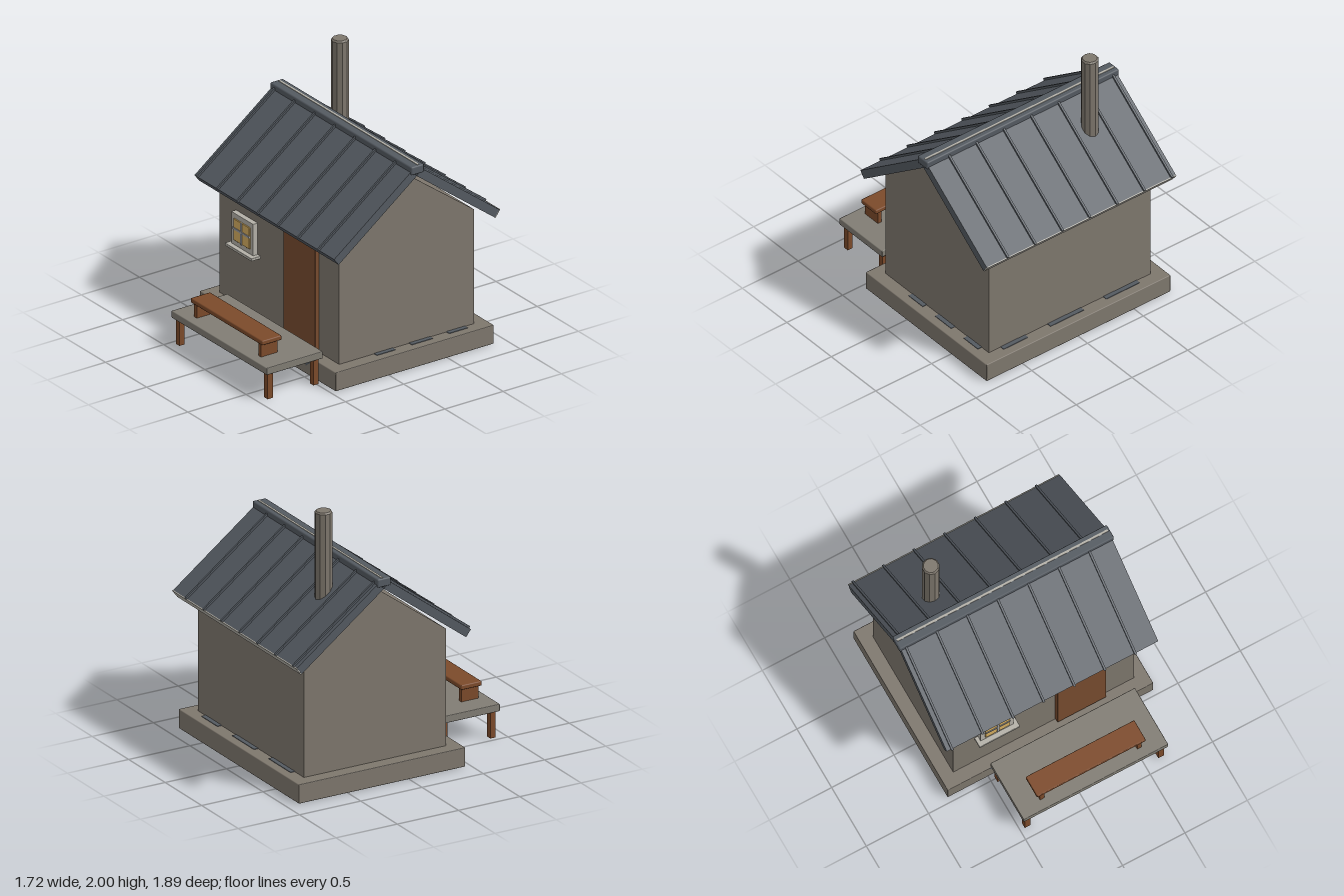
import * as THREE from 'three';
import { RoundedBoxGeometry } from 'three/addons/geometries/RoundedBoxGeometry.js';

const material = (name, color) => {
  const m = new THREE.MeshStandardMaterial({ color });
  m.name = name;
  return m;
};

export function createModel() {
  const plaster = material('plaster', 0x7e776d);
  const slate = material('slate', 0x545a61);
  const wood = material('wood', 0x784c2f);
  const benchWood = material('bench wood', 0x7c4a2a);
  const deckStone = material('deck stone', 0x817d74);
  const trim = material('pale trim', 0xb4b1a8);
  const glass = material('warm glass', 0xd4ad60);
  const bars = material('window bars', 0x9c9d9f);

  const model = new THREE.Group();
  model.name = 'cabin';

  // Box given by its lower and upper limits on each axis; r softens the edges
  function box(name, mat, [x0, x1], [y0, y1], [z0, z1], parent = model, r = 0) {
    const size = [x1 - x0, y1 - y0, z1 - z0];
    const geo = r ? new RoundedBoxGeometry(...size, 1, r) : new THREE.BoxGeometry(...size);
    const mesh = new THREE.Mesh(geo, mat);
    mesh.name = name;
    mesh.position.set((x0 + x1) / 2, (y0 + y1) / 2, (z0 + z1) / 2);
    parent.add(mesh);
    return mesh;
  }

  function group(name) {
    const g = new THREE.Group();
    g.name = name;
    model.add(g);
    return g;
  }

  // Foundation
  box('foundation', plaster, [-0.825, 0.825], [0, 0.145], [-0.9, 0.46], model, 0.006);

  // Walls with gables, extruded along x
  const ridgeZ = -0.22;
  const gable = new THREE.Shape([
    [-0.36, 0.145], [0.8, 0.145], [0.8, 1.03], [-ridgeZ, 1.46], [-0.36, 1.03],
  ].map(([x, y]) => new THREE.Vector2(x, y)));
  const wallGeo = new THREE.ExtrudeGeometry(gable, { depth: 1.45, bevelEnabled: false });
  wallGeo.rotateY(Math.PI / 2).translate(-0.725, 0, 0);
  const walls = new THREE.Mesh(wallGeo, plaster);
  walls.name = 'walls';
  model.add(walls);

  // Weathered slate-coloured patches at the wall base
  const patches = group('basePatches');
  for (const [z0, z1] of [[-0.72, -0.56], [-0.42, -0.24], [-0.1, 0.06]]) {
    box('sidePatch', slate, [0.725, 0.76], [0.145, 0.149], [z0, z1], patches);
  }
  for (const [x0, x1] of [[-0.6, -0.3], [-0.1, 0.2], [0.4, 0.62]]) {
    box('backPatch', slate, [x0, x1], [0.145, 0.149], [-0.835, -0.8], patches);
  }
  const stains = [
    [[-0.49, 0.145], [-0.37, 0.145], [-0.38, 0.08], [-0.42, 0.04], [-0.45, 0.09]],
    [[0.24, 0.145], [0.34, 0.145], [0.32, 0.125], [0.27, 0.12]],
    [[0.45, 0.145], [0.61, 0.145], [0.6, 0.11], [0.52, 0.105], [0.46, 0.06]],
  ];
  for (const points of stains) {
    const shape = new THREE.Shape(points.map(([x, y]) => new THREE.Vector2(x, y)));
    const stain = new THREE.Mesh(new THREE.ShapeGeometry(shape), slate);
    stain.name = 'frontPatch';
    stain.position.z = 0.462;
    patches.add(stain);
  }

  // Roof slopes with standing seams
  const pitch = Math.atan(0.754);
  const slopeLength = 0.84;
  const thickness = 0.065;
  for (const side of [1, -1]) {
    const slope = group(side > 0 ? 'frontRoof' : 'backRoof');
    slope.position.set(0, 1.495, ridgeZ);
    slope.rotation.set(pitch, side > 0 ? 0 : Math.PI, 0, 'YXZ');
    box('roofSlab', slate, [-0.848, 0.848], [0, thickness], [0, slopeLength], slope);
    for (let i = 0; i < 7; i++) {
      const x = (-0.808 + i * 0.245) * side;
      box('roofSeam', slate, [x - 0.008, x + 0.008], [thickness, thickness + 0.015],
        [0, slopeLength + 0.006], slope);
    }
    if (side < 0) {
      box('eaveTrim', trim, [-0.846, 0.846], [0, thickness + 0.004],
        [slopeLength, slopeLength + 0.008], slope);
    }
  }
  box('ridgeCap', slate, [-0.86, 0.86], [1.515, 1.578], [-0.277, -0.167], model, 0.01);
  box('ridgeStrip', trim, [-0.845, 0.845], [1.577, 1.582], [-0.242, -0.226]);

  // Chimney with a narrow chamfer at the top
  const profile = [[0, 1.32], [0.063, 1.32], [0.063, 1.988], [0.053, 2], [0, 2]];
  const chimneyGeo = new THREE.LatheGeometry(
    profile.map(([x, y]) => new THREE.Vector2(x, y)), 10);
  const chimneyFlat = chimneyGeo.toNonIndexed();
  chimneyFlat.computeVertexNormals();
  const chimney = new THREE.Mesh(chimneyFlat, plaster);
  chimney.name = 'chimney';
  chimney.position.set(-0.442, 0, -0.472);
  model.add(chimney);

  // Door
  box('door', wood, [0.093, 0.483], [0.155, 0.98], [0.35, 0.395], model, 0.005);

  // Window
  const win = group('window');
  box('windowFrame', trim, [-0.527, -0.263], [0.615, 0.86], [0.35, 0.4], win);
  box('windowPane', glass, [-0.493, -0.295], [0.655, 0.822], [0.39, 0.41], win, 0.005);
  box('verticalBar', bars, [-0.402, -0.386], [0.655, 0.822], [0.405, 0.415], win);
  box('horizontalBar', bars, [-0.493, -0.295], [0.741, 0.757], [0.405, 0.415], win);
  box('windowSill', trim, [-0.556, -0.23], [0.594, 0.616], [0.35, 0.438], win, 0.005);

  // Porch deck on four posts
  const porch = group('porch');
  box('deck', deckStone, [-0.485, 0.675], [0.2, 0.255], [0.463, 0.945], porch, 0.006);
  for (const x of [-0.441, 0.63]) {
    for (const z of [0.507, 0.9]) {
      box('deckLeg', benchWood, [x - 0.022, x + 0.022], [0, 0.2], [z - 0.022, z + 0.022], porch);
    }
  }

  // Bench
  const bench = group('bench');
  box('benchSeat', benchWood, [-0.342, 0.53], [0.356, 0.392], [0.714, 0.882], bench, 0.008);
  for (const x of [-0.296, 0.484]) {
    box('benchSupport', benchWood, [x - 0.017, x + 0.017], [0.255, 0.358], [0.73, 0.872], bench);
  }

  return model;
}
